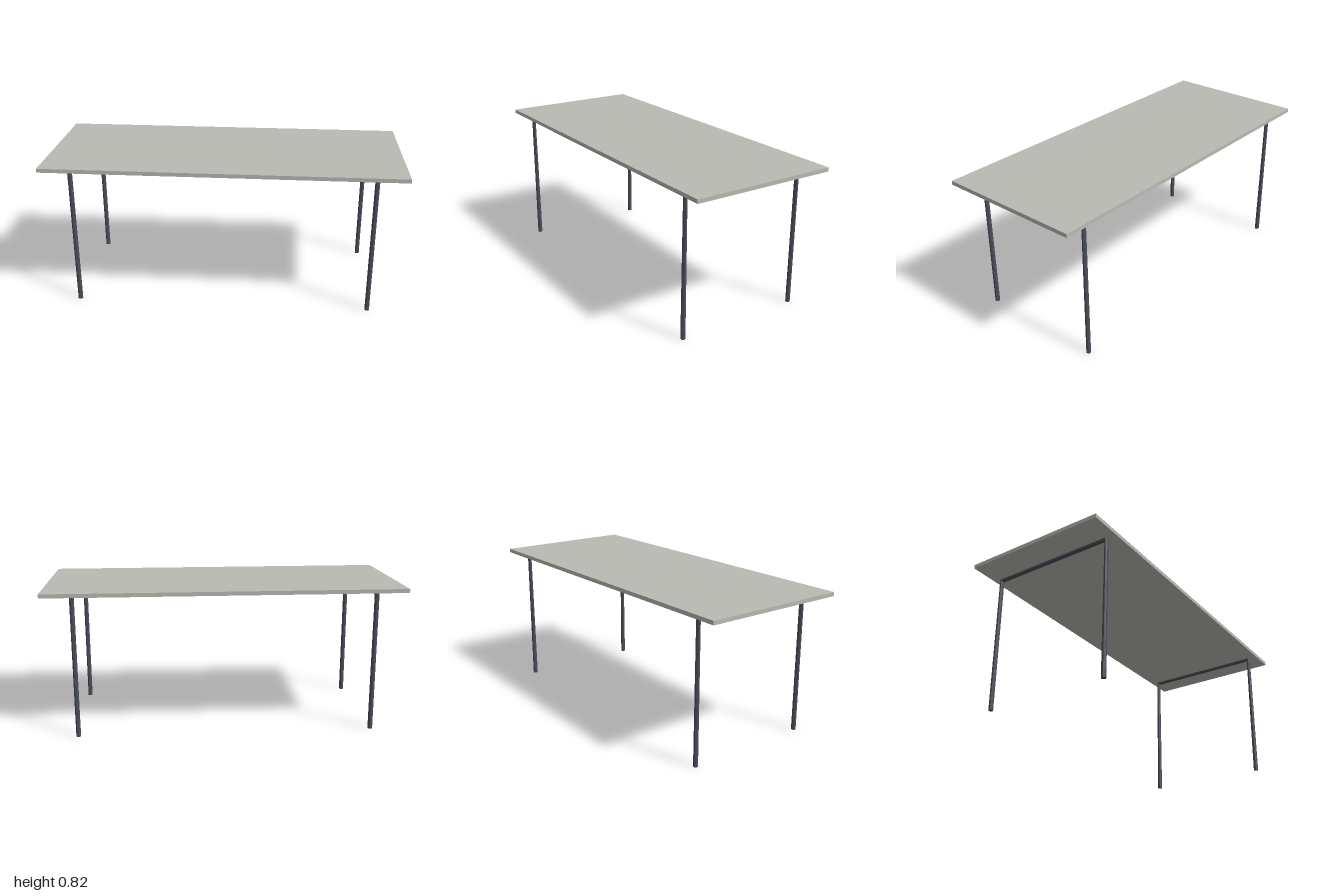
import * as THREE from 'three';

const SIDES = 8;

// Mitred tube frame: one ring at each foot and one at each corner.
function frameGeometry() {
  const rings = [
    // z, y, then the outward direction of the ring in the z-y plane
    { z: 0.361, y: 0, nz: 0.0125, ny: 0 },
    { z: 0.361, y: 0.7895, nz: 0.0095, ny: 0.009 },
    { z: -0.361, y: 0.7895, nz: -0.0095, ny: 0.009 },
    { z: -0.361, y: 0, nz: -0.0125, ny: 0 },
  ];
  const radiusX = 0.0125;
  const positions = [];
  const index = [];
  for (const r of rings) {
    for (let j = 0; j < SIDES; j++) {
      const a = ((j + 0.5) / SIDES) * Math.PI * 2;
      const k = Math.cos(a) / Math.cos(Math.PI / SIDES);
      const s = Math.sin(a) / Math.cos(Math.PI / SIDES);
      positions.push(radiusX * s, r.y + r.ny * k, r.z + r.nz * k);
    }
  }
  for (let i = 0; i < rings.length - 1; i++) {
    for (let j = 0; j < SIDES; j++) {
      const a = i * SIDES + j;
      const b = i * SIDES + ((j + 1) % SIDES);
      index.push(a, b, a + SIDES, b, b + SIDES, a + SIDES);
    }
  }
  // Foot caps
  const end = (rings.length - 1) * SIDES;
  for (let j = 1; j < SIDES - 1; j++) {
    index.push(0, j + 1, j, end, end + j, end + j + 1);
  }
  const g = new THREE.BufferGeometry();
  g.setAttribute('position', new THREE.Float32BufferAttribute(positions, 3));
  g.setIndex(index);
  const flat = g.toNonIndexed();
  flat.computeVertexNormals();
  return flat;
}

export function createModel() {
  const model = new THREE.Group();
  model.name = 'table';

  const topGrey = new THREE.MeshStandardMaterial({ color: 0xbabab4 });
  topGrey.name = 'warm light grey';
  const steel = new THREE.MeshStandardMaterial({ color: 0x4a4f59 });
  steel.name = 'dark slate metal';

  // Table top
  const top = new THREE.Mesh(new THREE.BoxGeometry(2, 0.022, 0.83), topGrey);
  top.name = 'tableTop';
  top.position.y = 0.813;
  model.add(top);

  // A leg frame near each end
  const geometry = frameGeometry();
  for (const side of [-1, 1]) {
    const frame = new THREE.Mesh(geometry, steel);
    frame.name = side > 0 ? 'leftLegFrame' : 'rightLegFrame';
    frame.position.x = side * 0.833;
    model.add(frame);
  }
  return model;
}
